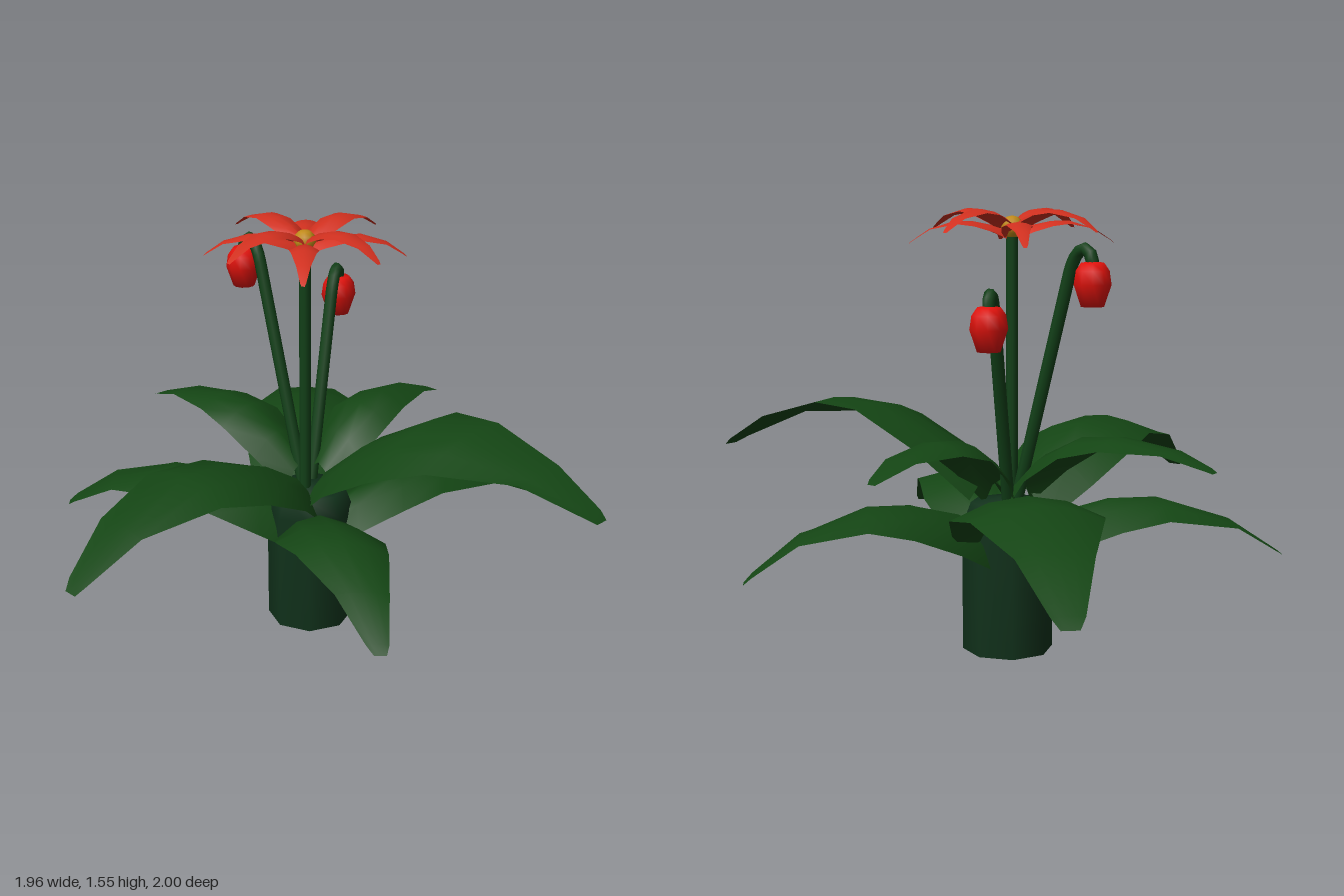
import * as THREE from 'three';

const CX = -0.11, CZ = -0.11; // plant axis
const FX = -0.105, FZ = -0.08; // flower axis

const mat = (color) => new THREE.MeshStandardMaterial({ color, side: THREE.DoubleSide });
const leafMat = mat(0x144514), trunkMat = mat(0x10301a), stemMat = mat(0x124018);
const petalMat = mat(0xd0301f), budMat = mat(0xe0120c), coreMat = mat(0xc08a18);

function add(parent, name, geometry, material, x = 0, y = 0, z = 0) {
  const mesh = new THREE.Mesh(geometry, material);
  mesh.name = name;
  mesh.position.set(x, y, z);
  parent.add(mesh);
}

// Outline shared by leaves and petals: stations along the length, share of full width
const stations = [0.06, 0.2, 0.38, 0.55, 0.8, 0.97, 1];
const widths = [0.5, 0.87, 1, 0.83, 0.47, 0.2, 0.11];

// Arched blade heading from +z towards +x; rises from base to peak, falls to tip.
// drift bends it sideways, drop lowers the edges, roll tilts it about its length.
function blade({ heading, length, width, base, peak, tip, drift = 0, drop = 0.14, roll = 0 }) {
  const a = THREE.MathUtils.degToRad(heading);
  const fx = Math.sin(a), fz = Math.cos(a), N = 4;
  const pos = [], index = [];
  stations.forEach((t, i) => {
    const end = t < 0.5 ? base : tip;
    const y = peak - (peak - end) * (2 * t - 1) ** 2;
    const bend = Math.max(0, 1 - t / 0.85);
    for (let j = 0; j <= N; j++) {
      const u = (j / N) * 2 - 1, across = u * width * widths[i];
      const side = drift * t * (0.75 + 0.25 * t) + across;
      const h = y - drop * bend * u * u + roll * Math.min(1, 2 * bend) * across;
      pos.push(fx * length * t + fz * side, h, fz * length * t - fx * side);
      if (i && j) {
        const q = i * (N + 1) + j, p = q - N - 1;
        index.push(p - 1, q, p, p - 1, q - 1, q);
      }
    }
  });
  const g = new THREE.BufferGeometry();
  g.setAttribute('position', new THREE.Float32BufferAttribute(pos, 3));
  g.setIndex(index);
  g.computeVertexNormals();
  return g;
}

const lathe = (points, sides) =>
  new THREE.LatheGeometry(points.map(([x, y]) => new THREE.Vector2(x, y)), sides);

// Straight stalk that hooks over at the shoulder, with a bud hanging from its end
function hangingBud(parent, name, foot, shoulder, bud) {
  const group = new THREE.Group();
  group.name = name;
  parent.add(group);
  const end = bud.clone().setY(bud.y + 0.05);
  const lean = shoulder.clone().sub(foot).normalize();
  const path = new THREE.CurvePath();
  path.add(new THREE.LineCurve3(foot, shoulder));
  path.add(new THREE.CubicBezierCurve3(
    shoulder, shoulder.clone().addScaledVector(lean, 0.11), end.clone().setY(end.y + 0.09), end));
  add(group, 'budStem', new THREE.TubeGeometry(path, 40, 0.022, 8), stemMat);
  const shape = lathe([[0, -0.075], [0.04, -0.073], [0.065, 0], [0.058, 0.045], [0.04, 0.07], [0, 0.077]], 10);
  add(group, 'bud', shape, budMat, bud.x, bud.y, bud.z);
}

export function createModel() {
  const model = new THREE.Group();

  // Trunk
  add(model, 'trunk', lathe([[0, 0], [0.16, 0], [0.16, 0], [0.16, 0.45], [0.13, 0.53], [0, 0.55]], 8), trunkMat, CX, 0, CZ);

  // Upper leaves along the axes, lower leaves on the diagonals
  const low = { base: 0.4, peak: 0.555, tip: 0.35, width: 0.195, length: 0.905 };
  const leaves = {
    frontLeaf: { heading: 0, length: 1.1, width: 0.235, base: 0.53, peak: 0.765, tip: 0.5 },
    leftLeaf: { heading: 90, length: 1.09, width: 0.235, base: 0.53, peak: 0.865, tip: 0.66, drift: 0.31, roll: 0.28, drop: 0.1 },
    backLeaf: { heading: 180, length: 0.735, width: 0.14, base: 0.56, peak: 0.8, tip: 0.71, drift: 0.04, drop: 0.1 },
    rightLeaf: { heading: 270, length: 0.78, width: 0.14, base: 0.56, peak: 0.8, tip: 0.71, drift: 0.09, drop: 0.1 },
    frontLeftLeaf: { ...low, heading: 45, drift: 0.24 },
    backLeftLeaf: { ...low, heading: 135, drift: 0.34 },
    backRightLeaf: { heading: 225, length: 1.16, width: 0.255, base: 0.42, peak: 0.655, tip: 0.41, drift: 0.04 },
    frontRightLeaf: { ...low, heading: 315, length: 0.95, drift: -0.23 },
  };
  for (const [name, shape] of Object.entries(leaves)) add(model, name, blade(shape), leafMat, CX, 0, CZ);

  // Flower with four upper and four lower petals
  const flower = new THREE.Group();
  flower.name = 'flower';
  model.add(flower);
  const upper = { length: 0.355, width: 0.06, base: 1.485, peak: 1.548, tip: 1.475, drop: 0.03 };
  const lower = { ...upper, width: 0.052, base: 1.465, peak: 1.508, tip: 1.43 };
  for (let i = 0; i < 8; i++) {
    const shape = { ...(i % 2 ? lower : upper), heading: i * 45 };
    add(flower, i % 2 ? 'lowerPetal' : 'upperPetal', blade(shape), petalMat, FX, 0, FZ);
  }
  add(flower, 'flowerCentre', new THREE.SphereGeometry(0.04, 8, 6), coreMat, FX, 1.485, FZ);
  add(flower, 'flowerStem', new THREE.CylinderGeometry(0.021, 0.021, 1.02, 8), stemMat, FX, 0.96, FZ);

  // Hanging buds
  const v = (x, y, z) => new THREE.Vector3(x, y, z);
  hangingBud(model, 'tallBud', v(-0.14, 0.5, -0.11), v(-0.375, 1.34, -0.115), v(-0.472, 1.307, -0.12));
  hangingBud(model, 'shortBud', v(-0.14, 0.5, -0.14), v(-0.24, 1.19, -0.345), v(-0.285, 1.172, -0.43));

  return model;
}
